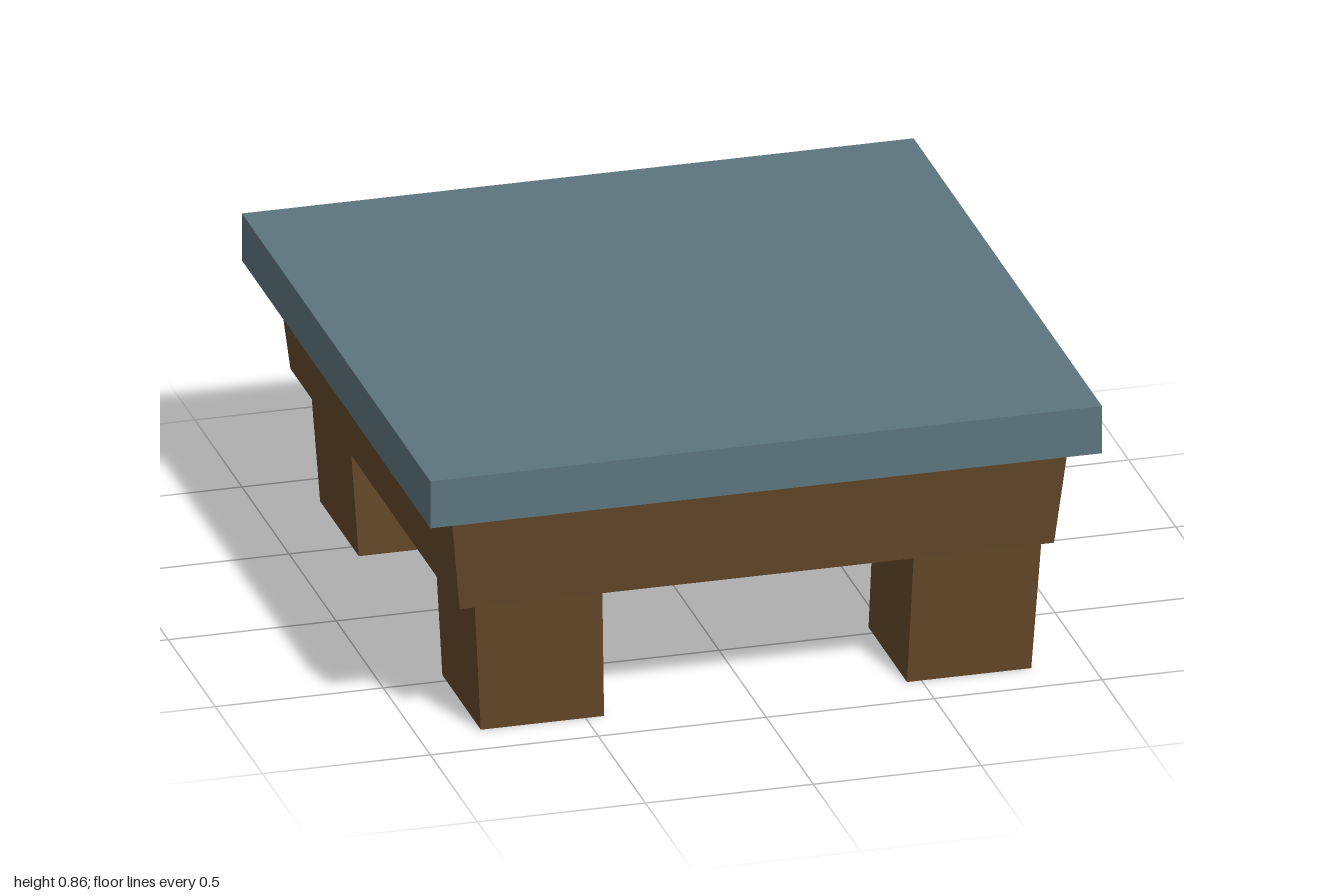
import * as THREE from 'three';

function paint(name, color) {
  const material = new THREE.MeshStandardMaterial({ color, flatShading: true, side: THREE.DoubleSide });
  material.name = name;
  return material;
}
const wood = paint('brown wood', 0x644729);
const slate = paint('slate', 0x5d757d);

// Tapered block between y0 and y1; each rectangle is [xMin, xMax, zMin, zMax]
function taperedBlock(name, material, y0, y1, bottom, top, openBottom) {
  const geometry = new THREE.BoxGeometry(1, 1, 1);
  const p = geometry.attributes.position;
  for (let i = 0; i < p.count; i++) {
    const upper = p.getY(i) > 0;
    const r = upper ? top : bottom;
    p.setXYZ(i, p.getX(i) < 0 ? r[0] : r[1], upper ? y1 : y0, p.getZ(i) < 0 ? r[2] : r[3]);
  }
  if (openBottom) {
    // Leave out the two triangles of the lower face
    const index = Array.from(geometry.index.array);
    index.splice(18, 6);
    geometry.setIndex(index);
    geometry.clearGroups();
  }
  geometry.computeVertexNormals();
  const mesh = new THREE.Mesh(geometry, material);
  mesh.name = name;
  return mesh;
}

export function createModel() {
  const table = new THREE.Group();
  table.name = 'lowTable';

  // Flat square top, a shallow lid that is hollow underneath
  const square = [-1, 1, -1, 1];
  table.add(taperedBlock('tableTop', slate, 0.708, 0.855, square, square, true));

  // Solid apron flaring upwards into the hollow of the top
  table.add(taperedBlock('apron', wood, 0.4, 0.745,
    [-0.885, 0.885, -0.895, 0.9], [-0.922, 0.922, -0.936, 0.936], false));

  // Four stout hollow legs, slightly narrower at the foot
  const xSpans = { Right: [[-0.812, -0.445], [-0.837, -0.457]], Left: [[0.457, 0.827], [0.47, 0.85]] };
  const zSpans = { front: [[0.457, 0.865], [0.47, 0.89]], back: [[-0.84, -0.43], [-0.865, -0.443]] };
  for (const [end, z] of Object.entries(zSpans)) {
    for (const [side, x] of Object.entries(xSpans)) {
      table.add(taperedBlock(`${end}${side}Leg`, wood, 0, 0.402,
        [...x[0], ...z[0]], [...x[1], ...z[1]], true));
    }
  }
  return table;
}
